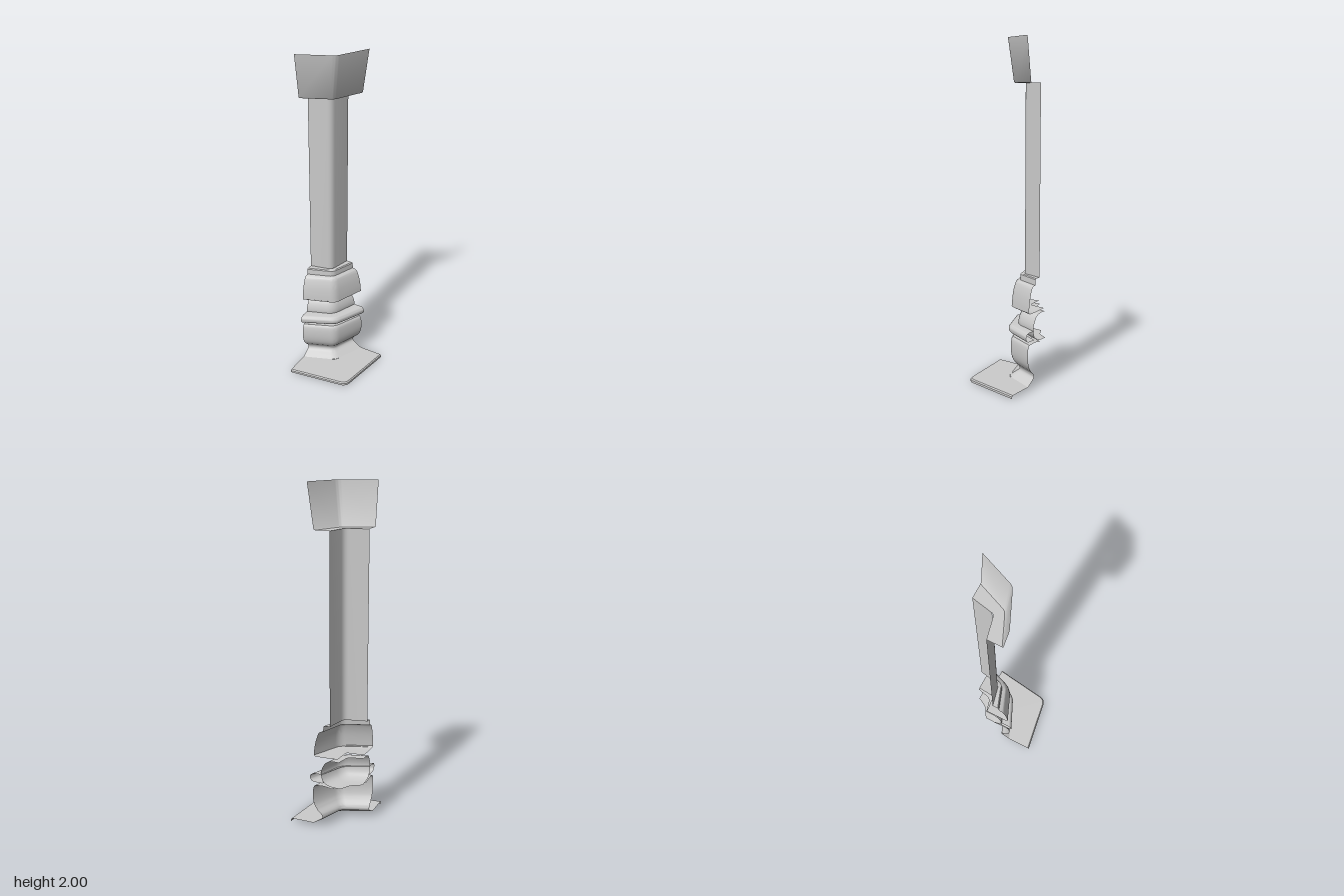
import * as THREE from 'three';
import { toCreasedNormals } from 'three/addons/utils/BufferGeometryUtils.js';

const AXIS = -0.21; // the quarter shells turn around the line x = z = AXIS

// Quarter outline of radius r; its corner lies at (r * k, r * k) and is rounded
function outline(r, k, round) {
  const c = r * k;
  const start = new THREE.Vector2(r, 0), end = new THREE.Vector2(0, r), corner = new THREE.Vector2(c, c);
  const fillet = new THREE.QuadraticBezierCurve(
    corner.clone().lerp(start, round), corner, corner.clone().lerp(end, round));
  return [start, ...fillet.getPoints(5), end];
}

// Open shell from a profile of [radius, height, optional corner ratio], bottom to top on the outside
function shell(name, profile, k, round = 0.16) {
  const rows = profile.map(([r, y, ratio = k]) =>
    outline(r, ratio, round).map(p => [p.x + AXIS, y, p.y + AXIS]));
  const n = rows[0].length;
  const index = [];
  for (let j = 0; j < rows.length - 1; j++) {
    for (let i = 0; i < n - 1; i++) {
      const a = j * n + i, up = a + n;
      index.push(a, up, a + 1, a + 1, up, up + 1);
    }
  }
  const geometry = new THREE.BufferGeometry();
  geometry.setAttribute('position', new THREE.Float32BufferAttribute(rows.flat(2), 3));
  geometry.setIndex(index);
  const material = new THREE.MeshStandardMaterial({ color: 0xcccccc, side: THREE.DoubleSide });
  const mesh = new THREE.Mesh(toCreasedNormals(geometry, 0.7), material);
  mesh.name = name;
  return mesh;
}

// Smooth profile through a few points
function smooth(points, steps) {
  const curve = new THREE.CatmullRomCurve3(points.map(([r, y, k]) => new THREE.Vector3(r, y, k)));
  return curve.getPoints(steps).map(p => [p.x, p.y, p.z]);
}

export function createModel() {
  const model = new THREE.Group();
  model.name = 'quarterColumn';

  // Wide foot plate with a flared neck rising into the lower block
  model.add(shell('footPlate', [
    [0.42, 0], [0.42, 0.013], [0.414, 0.02], [0.27, 0.022, 0.72],
  ], 0.87, 0.1));
  model.add(shell('lowerBlock', [
    ...smooth([[0.27, 0.022, 0.72], [0.245, 0.038, 0.72], [0.215, 0.06, 0.72], [0.215, 0.08, 0.72], [0.243, 0.11, 0.72]], 12),
    ...smooth([[0.243, 0.11, 0.72], [0.262, 0.14, 0.71], [0.273, 0.19, 0.7], [0.268, 0.255, 0.7], [0.258, 0.27, 0.7]], 14),
    [0.2, 0.273], [0.15, 0.265],
  ], 0.72));

  // Bulging cushion, curling inward at both ends
  model.add(shell('cushion', smooth([
    [0.1, 0.275, 0.64], [0.17, 0.28, 0.7], [0.205, 0.3, 0.72], [0.22, 0.345, 0.73],
    [0.213, 0.385, 0.74], [0.187, 0.425, 0.76], [0.15, 0.438, 0.78], [0.11, 0.438, 0.8],
  ], 24), 0.73, 0.25));

  // Rounded ring around the cushion
  const ring = [];
  for (let i = 0; i <= 12; i++) {
    const a = -Math.PI / 2 + i * Math.PI / 12;
    ring.push([0.263 + 0.027 * Math.cos(a), 0.317 + 0.027 * Math.sin(a)]);
  }
  model.add(shell('ring', [[0.212, 0.29], ...ring, [0.215, 0.344]], 0.69));

  // Upper block with a collar on top
  model.add(shell('upperBlock', [
    [0.115, 0.458, 0.92], [0.2, 0.453], [0.255, 0.453],
    ...smooth([[0.264, 0.46, 0.71], [0.261, 0.5, 0.71], [0.25, 0.555, 0.72], [0.233, 0.6, 0.73], [0.225, 0.607, 0.74]], 12),
    [0.205, 0.612], [0.203, 0.645], [0.197, 0.65], [0.163, 0.65, 0.82],
  ], 0.74));

  // Plain shaft
  model.add(shell('shaft', [[0.163, 0.65], [0.163, 1.75]], 0.82, 0.2));

  // Flaring capital with a ledge closing onto the shaft
  model.add(shell('capital', [
    [0.163, 1.75, 0.82], [0.248, 1.75], [0.255, 1.757], [0.29, 2],
  ], 0.7, 0.1));

  return model;
}
